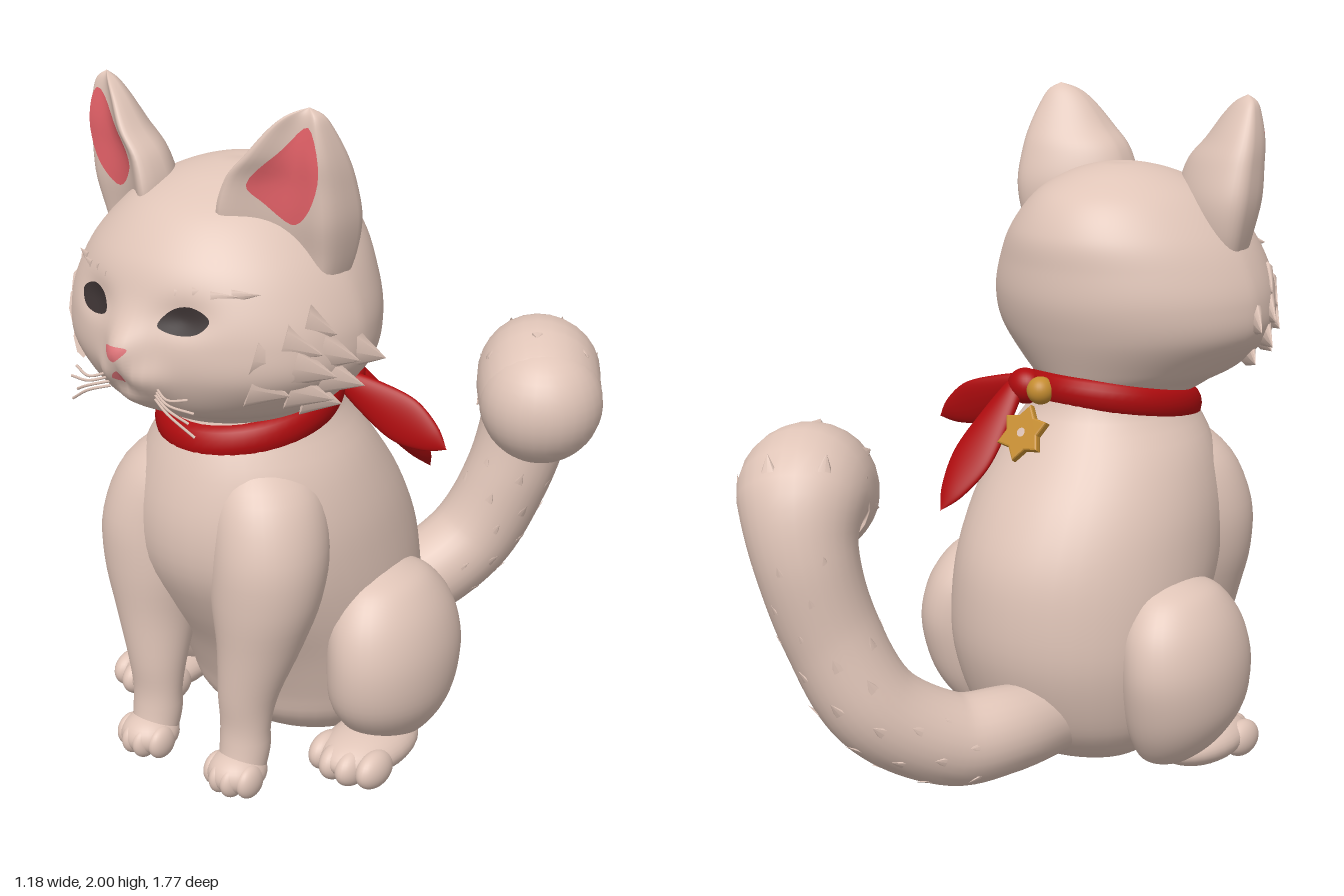
import * as THREE from 'three';
import { mergeVertices } from 'three/addons/utils/BufferGeometryUtils.js';

const V = (x, y, z) => new THREE.Vector3(x, y, z);
const X0 = -0.03; // symmetry plane of the body

const material = (name, color, side = THREE.FrontSide) => {
  const m = new THREE.MeshStandardMaterial({ color, side });
  m.name = name;
  return m;
};

// Catmull-Rom through rows of numbers, t in 0..1
function sample(rows, t) {
  const f = t * (rows.length - 1), i = Math.min(Math.floor(f), rows.length - 2), u = f - i;
  const at = k => rows[Math.max(0, Math.min(rows.length - 1, k))];
  const [a, b, c, d] = [at(i - 1), at(i), at(i + 1), at(i + 2)];
  return b.map((p, k) => p + 0.5 * u * (c[k] - a[k]
    + u * (2 * a[k] - 5 * p + 4 * c[k] - d[k] + u * (3 * (p - c[k]) + d[k] - a[k]))));
}

// Row of a loft at height y
function rowAt(rows, y) {
  let lo = 0, hi = 1;
  for (let i = 0; i < 24; i++) {
    const mid = (lo + hi) / 2;
    if (sample(rows, mid)[0] < y) lo = mid; else hi = mid;
  }
  return sample(rows, lo);
}

function smooth(geo) {
  geo.deleteAttribute('uv');
  geo.deleteAttribute('normal');
  const g = mergeVertices(geo, 1e-5);
  g.computeVertexNormals();
  return g;
}

// Stack of elliptical rings, rows = [y, cx, cz, rx, rz] from bottom to top
function loft(rows, { seg = 40, steps = 40, depth = (x, z) => z } = {}) {
  const geo = new THREE.CylinderGeometry(1, 1, 1, seg, steps, true);
  const p = geo.attributes.position;
  for (let i = 0; i < p.count; i++) {
    const [y, cx, cz, rx, rz] = sample(rows, p.getY(i) + 0.5);
    const x = p.getX(i);
    p.setXYZ(i, cx + Math.max(rx, 0.0005) * x, y, cz + Math.max(rz, 0.0005) * depth(x, p.getZ(i)));
  }
  return smooth(geo);
}

// Thin patch inside a closed outline, laid on the surface z = f(x, y)
function decal(outline, f) {
  const n = 32, rings = 5;
  const curve = new THREE.CatmullRomCurve3(outline.map(([x, y]) => V(x, y, 0)), true);
  const mid = outline.reduce((s, [x, y]) => s.add(V(x, y, 0)), V(0, 0, 0)).divideScalar(outline.length);
  const geo = new THREE.RingGeometry(0, 1, n, rings), p = geo.attributes.position;
  for (let j = 0, k = 0; j <= rings; j++) for (let i = 0; i <= n; i++, k++) {
    const q = mid.clone().lerp(curve.getPoint((i % n) / n), j / rings);
    p.setXYZ(k, q.x, q.y, f(q.x, q.y) + 0.006);
  }
  return smooth(geo);
}

// Moves geometry built along +y so that it starts at 'from' and runs along 'dir'
function place(geo, from, dir, wide) {
  const y = dir.clone().normalize(), z = wide.clone().cross(y).normalize(), x = y.clone().cross(z);
  return geo.applyMatrix4(new THREE.Matrix4().makeBasis(x, y, z).setPosition(from));
}

const tuft = (r, len, flat) =>
  new THREE.ConeGeometry(r, len, 8).translate(0, len / 2, 0).scale(1, 1, flat);

// Relief of the face: snout, whisker pads, chin and eye sockets
const bump = (x, y, cx, cy, w, h) => Math.exp(-(((x - cx) / w) ** 2) - ((y - cy) / h) ** 2);
function relief(x, y) {
  const u = Math.abs(x - X0);
  return 0.055 * bump(u, y, 0, 1.375, 0.06, 0.07) + 0.035 * bump(u, y, 0.055, 1.295, 0.055, 0.05)
    + 0.03 * bump(u, y, 0, 1.23, 0.06, 0.035) - 0.02 * bump(u, y, 0.15, 1.47, 0.07, 0.045);
}

export function createModel() {
  const model = new THREE.Group();
  const fur = material('fur', 0xe0c5b8), pink = material('ear pink', 0xee666d, THREE.DoubleSide);
  const nosePink = material('nose pink', 0xe07479, THREE.DoubleSide), dark = material('eye dark', 0x3a3131, THREE.DoubleSide);
  const red = material('scarf red', 0xae0b0e), gold = material('gold', 0xc48c30);

  const add = (name, geo, mat = fur) => {
    const m = new THREE.Mesh(geo, mat);
    m.name = name;
    model.add(m);
    return m;
  };
  const blob = (name, c, r, mat = fur) =>
    add(name, new THREE.SphereGeometry(1, 28, 20).scale(...r).translate(...c), mat);

  // Torso
  add('torso', loft([
    [0.01, X0, 0.15, 0, 0], [0.02, X0, 0.15, 0.22, 0.16], [0.1, X0, 0.15, 0.31, 0.26],
    [0.2, X0, 0.14, 0.35, 0.31], [0.35, X0, 0.15, 0.38, 0.37], [0.5, X0, 0.19, 0.39, 0.42],
    [0.65, X0, 0.235, 0.385, 0.445], [0.8, X0, 0.275, 0.365, 0.415], [0.95, X0, 0.31, 0.315, 0.345],
    [1.08, X0, 0.33, 0.235, 0.27], [1.2, X0, 0.33, 0.2, 0.22], [1.22, X0, 0.33, 0, 0]]));

  // Head, narrower at the back
  const headRows = [
    [1.08, X0, 0.36, 0, 0], [1.1, X0, 0.37, 0.19, 0.22], [1.15, X0, 0.4, 0.28, 0.29],
    [1.2, X0, 0.43, 0.355, 0.345], [1.3, X0, 0.435, 0.445, 0.39], [1.4, X0, 0.425, 0.457, 0.405],
    [1.5, X0, 0.415, 0.428, 0.395], [1.6, X0, 0.4, 0.37, 0.368], [1.7, X0, 0.385, 0.275, 0.29],
    [1.76, X0, 0.375, 0.17, 0.175], [1.788, X0, 0.37, 0.07, 0.07], [1.79, X0, 0.37, 0, 0]];
  const head = loft(headRows, { seg: 120, steps: 100 }), hp = head.attributes.position;
  for (let i = 0; i < hp.count; i++) {
    const x = hp.getX(i), z = hp.getZ(i);
    hp.setX(i, X0 + (x - X0) * (1 - 0.3 * Math.max(0, 0.42 - z)));
    if (z > 0.5) hp.setZ(i, z + relief(x, hp.getY(i)));
  }
  head.computeVertexNormals();
  add('head', head);
  const headZ = (x, y) => {
    const [, cx, cz, rx, rz] = rowAt(headRows, y);
    return cz + rz * Math.sqrt(Math.max(0, 1 - ((x - cx) / rx) ** 2)) + relief(x, y);
  };

  // Nose and mouth
  const centred = list => list.map(([x, y]) => [X0 + x, y]);
  add('nose', decal(centred([[0.036, 1.388], [0, 1.394], [-0.036, 1.388], [-0.02, 1.365], [0, 1.352], [0.02, 1.365]]), headZ), nosePink);
  add('mouth', decal(centred([[0, 1.322], [-0.024, 1.298], [0, 1.29], [0.024, 1.298]]), headZ), nosePink);

  const earRows = [
    [1.5, 0, 0.46, 0.1, 0.06], [1.6, 0, 0.46, 0.14, 0.085], [1.7, 0, 0.472, 0.16, 0.1],
    [1.8, 0, 0.485, 0.145, 0.088], [1.87, 0, 0.498, 0.11, 0.072], [1.94, 0, 0.508, 0.072, 0.046],
    [1.98, 0, 0.512, 0.04, 0.025], [2, 0, 0.512, 0, 0]];
  const earX = [0.28, 0.27, 0.268, 0.281, 0.308, 0.328, 0.342, 0.35];

  for (const s of [-1, 1]) {
    const side = s > 0 ? 'left' : 'right';
    const at = (x, y, z) => V(X0 + s * x, y, z);

    // Ears turned outward, with a pink hollow in front
    const rows = earRows.map(([y, , ...r], i) => [y, X0 + s * earX[i], ...r]);
    const depth = (x, z) => (z > 0 ? 3.2 * z - 2.6 * z * z : z) - 0.62 * s * x;
    add(`${side} ear`, loft(rows, { depth }));
    const ring = [[0.365, 1.955], [0.29, 1.885], [0.205, 1.79], [0.235, 1.745], [0.305, 1.69], [0.365, 1.74], [0.398, 1.85]];
    add(`${side} inner ear`, decal(ring.map(([x, y]) => [X0 + s * x, y]), (x, y) => {
      const [, cx, cz, rx, rz] = rowAt(rows, y), u = (x - cx) / rx;
      return cz + rz * depth(u, Math.sqrt(Math.max(0, 1 - u * u)));
    }), pink);

    // Eyes
    const lid = [[0.09, 1.45], [0.12, 1.492], [0.17, 1.504], [0.222, 1.475], [0.2, 1.442], [0.14, 1.432]];
    add(`${side} eye`, decal(lid.map(([x, y]) => [X0 + s * x, y]), headZ), dark);

    // Whiskers and brow tufts
    for (let i = 0; i < 4; i++) {
      const y = 1.285 - i * 0.013;
      const path = new THREE.CatmullRomCurve3([at(0.08, y, 0.82), at(0.14, y - 0.02, 0.84), at(0.2 + 0.02 * (i % 2), y - 0.01 - i * 0.02, 0.825)]);
      add(`${side} whisker`, new THREE.TubeGeometry(path, 10, 0.004, 5));
      const bx = 0.12 + i * 0.045, by = 1.53 + 0.006 * (i % 2);
      add(`${side} brow tuft`, place(tuft(0.018, 0.075, 0.35), at(bx, by, headZ(X0 + bx, by) - 0.006), V(s, 0.12, -0.55), V(0, 1, 0)));
    }

    // Cheek tufts: y, z, length
    [[1.45, 0.58, 0.09], [1.41, 0.64, 0.11], [1.38, 0.55, 0.11], [1.35, 0.62, 0.12], [1.31, 0.54, 0.12],
      [1.28, 0.61, 0.12], [1.24, 0.54, 0.1], [1.38, 0.7, 0.11], [1.3, 0.7, 0.11], [1.36, 0.45, 0.1]].forEach(([y, z, len]) => {
      const [, , cz, rx, rz] = rowAt(headRows, y);
      const x = rx * Math.sqrt(1 - ((z - cz) / rz) ** 2) - 0.025;
      add(`${side} cheek tuft`, place(tuft(0.06, len, 0.4), at(x, y, z), V(s * 0.72, -0.3, -0.65), V(0, 1, 0)));
    });

    // Front leg and paw
    const mirrored = list => list.map(([y, x, ...r]) => [y, X0 + s * x, ...r]);
    add(`${side} front leg`, loft(mirrored([
      [0.02, 0.17, 0.62, 0, 0], [0.03, 0.17, 0.62, 0.06, 0.06], [0.12, 0.17, 0.595, 0.075, 0.07],
      [0.2, 0.17, 0.59, 0.077, 0.067], [0.3, 0.175, 0.58, 0.09, 0.086], [0.45, 0.195, 0.55, 0.122, 0.125],
      [0.6, 0.205, 0.53, 0.158, 0.157], [0.75, 0.205, 0.51, 0.163, 0.172], [0.9, 0.17, 0.48, 0.145, 0.155],
      [1, 0.13, 0.45, 0.07, 0.09], [1.03, 0.12, 0.44, 0, 0]])));
    blob(`${side} front paw`, at(0.17, 0.062, 0.63).toArray(), [0.086, 0.062, 0.088]);

    // Haunch and hind foot
    add(`${side} haunch`, loft(mirrored([
      [0.04, 0.36, 0.16, 0, 0], [0.05, 0.36, 0.16, 0.07, 0.09], [0.12, 0.38, 0.175, 0.125, 0.165],
      [0.22, 0.395, 0.19, 0.16, 0.222], [0.35, 0.4, 0.187, 0.165, 0.243], [0.47, 0.385, 0.185, 0.152, 0.22],
      [0.56, 0.37, 0.185, 0.11, 0.155], [0.595, 0.36, 0.185, 0.055, 0.075], [0.602, 0.36, 0.185, 0, 0]])));
    blob(`${side} hind foot`, at(0.39, 0.07, 0.29).toArray(), [0.118, 0.07, 0.18]);
    for (let i = 0; i < 4; i++) {
      const u = i - 1.5, z = -0.012 * u * u;
      blob(`${side} front toe`, at(0.17 + u * 0.041, 0.054, 0.675 + z).toArray(), [0.03, 0.05, 0.05]);
      blob(`${side} hind toe`, at(0.39 + u * 0.057, 0.058, 0.41 + z).toArray(), [0.042, 0.056, 0.072]);
    }
  }

  // Tail: x, y, z, radius
  const tailRows = [[-0.1, 0.17, -0.05, 0.12], [-0.085, 0.18, -0.25, 0.13], [-0.01, 0.19, -0.42, 0.137],
    [0.1, 0.32, -0.6, 0.14], [0.19, 0.55, -0.68, 0.14], [0.24, 0.78, -0.72, 0.152],
    [0.29, 0.915, -0.675, 0.188], [0.345, 0.92, -0.59, 0.192], [0.39, 0.89, -0.535, 0.19]];
  const path = new THREE.CatmullRomCurve3(tailRows.map(r => V(...r)), false, 'catmullrom', 0.5);
  const steps = 60, seg = 28;
  const tail = new THREE.TubeGeometry(path, steps, 1, seg), tp = tail.attributes.position;
  for (let i = 0, k = 0; i <= steps; i++) {
    const c = path.getPointAt(i / steps), r = sample(tailRows, path.getUtoTmapping(i / steps))[3];
    for (let j = 0; j <= seg; j++, k++) {
      const n = V(0, 0, 0).fromBufferAttribute(tp, k).sub(c);
      tp.setXYZ(k, ...c.clone().addScaledVector(n, r).toArray());
      // Fur tufts staggered round the tail
      if (i > 10 && i < 58 && i % 4 === 0 && j < seg && (j + i / 2) % 4 === 0) {
        const dir = path.getTangentAt(i / steps).addScaledVector(n, 0.22);
        const base = c.clone().addScaledVector(n, r - 0.012);
        add('tail tuft', place(tuft(0.035, 0.075, 0.25), base, dir, n.clone().cross(dir)));
      }
    }
  }
  add('tail', smooth(tail));
  blob('tail tip', [0.39, 0.89, -0.535], [0.19, 0.19, 0.19]);

  // Neck scarf, higher at the back
  const scarf = new THREE.TorusGeometry(0.225, 0.035, 14, 56).rotateX(Math.PI / 2).scale(1, 1.5, 1.1);
  const sp = scarf.attributes.position;
  for (let i = 0; i < sp.count; i++) sp.setY(i, sp.getY(i) + 1.085 - 0.19 * sp.getZ(i));
  add('scarf band', smooth(scarf.translate(X0, 0, 0.345)), red);
  blob('scarf knot', [0.13, 1.125, 0.11], [0.06, 0.055, 0.05], red);
  const scarfEnd = (len, w) => loft([[0, 0, 0, 0, 0], [0.01, 0, 0, w * 0.4, 0.02], [len * 0.3, 0, 0, w * 0.8, 0.022],
    [len * 0.6, 0, 0, w, 0.02], [len * 0.85, 0, 0, w * 0.6, 0.014], [len, 0, 0, 0, 0]]);
  add('hanging scarf end', place(scarfEnd(0.46, 0.07), V(0.15, 1.14, 0.1), V(0.09, -0.35, -0.24), V(1, 0, -0.15)), red);
  add('side scarf end', place(scarfEnd(0.37, 0.07), V(0.15, 1.13, 0.16), V(0.32, -0.15, -0.05), V(0.2, 1, -0.25)), red);

  // Gold bell and star pendant on the back
  blob('bell', [0.03, 1.135, 0.06], [0.042, 0.042, 0.042], gold);
  const star = new THREE.Shape();
  for (let i = 0; i < 12; i++) {
    const a = i * Math.PI / 6, r = i % 2 ? 0.052 : 0.08;
    star[i ? 'lineTo' : 'moveTo'](r * Math.sin(a), r * Math.cos(a));
  }
  star.holes.push(new THREE.Path().absarc(0, 0, 0.014, 0, Math.PI * 2, true));
  const pendant = new THREE.ExtrudeGeometry(star, { depth: 0.014, bevelSize: 0.006, bevelThickness: 0.006, bevelSegments: 2 });
  add('star pendant', place(pendant, V(0.03, 1.015, -0.015), V(0, 0.85, 0.5), V(-1, 0, 0)), gold);

  return model;
}
